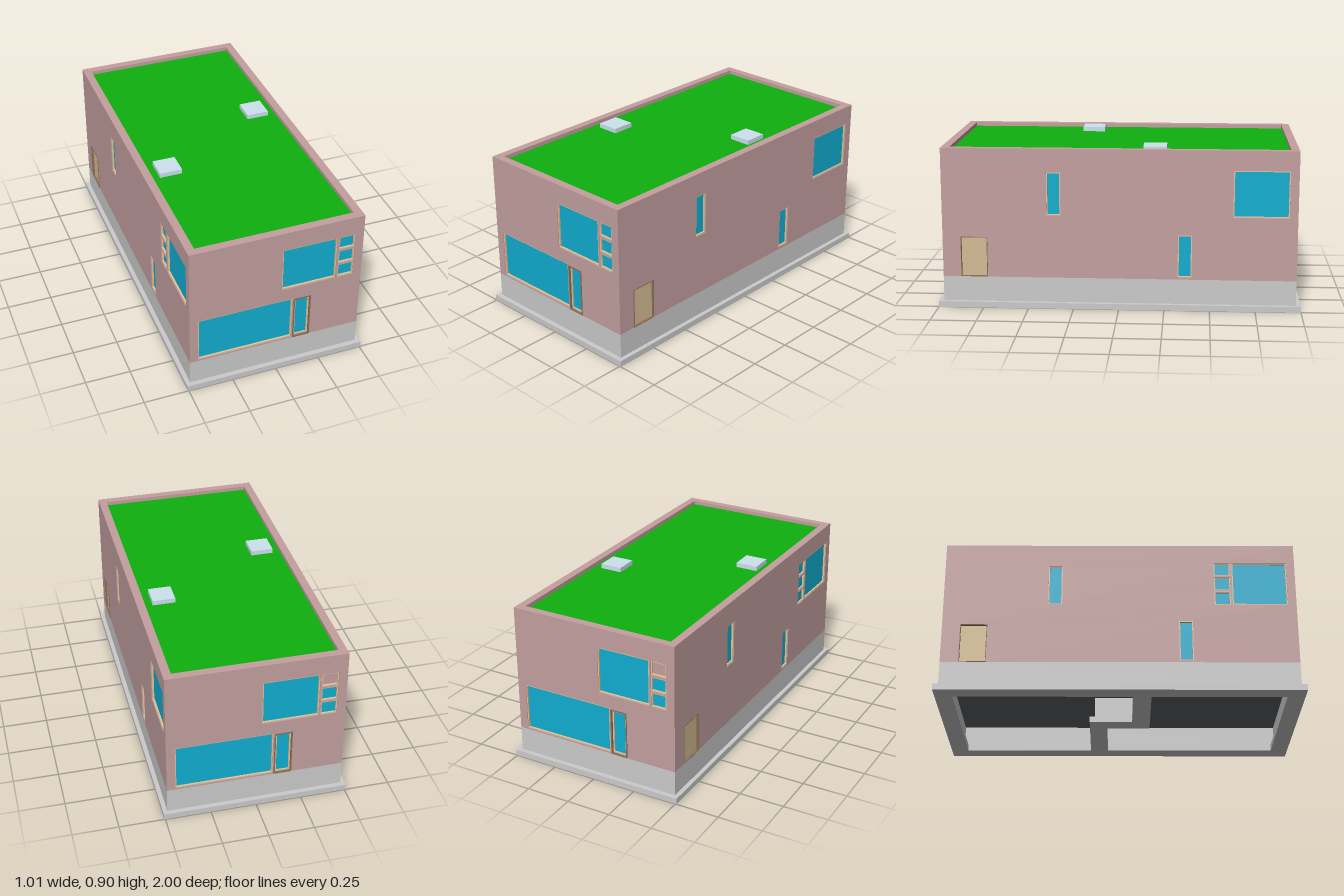
import * as THREE from 'three';

const mat = (color) => new THREE.MeshStandardMaterial({ color });
const MAT = {
  grey: mat(0xcccccc), wall: mat(0xc4a0a0), glass: mat(0x11aed1), frame: mat(0xe8c398),
  trim: mat(0x8f7058), door: mat(0xd5bd94), grass: mat(0x10b010), skylight: mat(0xcce3ee), floor: mat(0x626466),
};

// Main levels and half sizes
const W = 0.483, L = 0.973, T = 0.045;
const FOOT = 0.033, BASE = 0.172, TOP = 0.892, ROOF = 0.87;

function add(parent, name, geometry, material) {
  const mesh = new THREE.Mesh(geometry, material);
  mesh.name = name;
  parent.add(mesh);
  return mesh;
}

function box(parent, name, material, [x0, x1], [y0, y1], [z0, z1]) {
  const mesh = add(parent, name, new THREE.BoxGeometry(x1 - x0, y1 - y0, z1 - z0), material);
  mesh.position.set((x0 + x1) / 2, (y0 + y1) / 2, (z0 + z1) / 2);
  return mesh;
}

const rectPoints = (x0, x1, y0, y1) =>
  [[x0, y0], [x1, y0], [x1, y1], [x0, y1]].map(([x, y]) => new THREE.Vector2(x, y));

// Rectangular plate with rectangular holes, from z0 to z1
function plate(parent, name, material, outer, holes, z0, z1) {
  const shape = new THREE.Shape(rectPoints(...outer));
  for (const h of holes) shape.holes.push(new THREE.Path(rectPoints(...h)));
  const geometry = new THREE.ExtrudeGeometry(shape, { depth: z1 - z0, bevelEnabled: false });
  geometry.translate(0, 0, z0);
  return add(parent, name, geometry, material);
}

const inset = ([x0, x1, y0, y1], d) => [x0 + d, x1 - d, y0 + d, y1 - d];

// Perimeter ring with a stepped cross wall, leaving two rotated L-shaped voids
function foundation(parent, name, outX, outZ, inX, inZ, half, y0, y1) {
  const shape = new THREE.Shape(rectPoints(-outX, outX, -outZ, outZ));
  const step = 0.12;
  const voidOutline = [
    [inX, -inZ], [-inX, -inZ], [-inX, step - half],
    [-half, step - half], [-half, -step - half], [inX, -step - half],
  ];
  for (const s of [1, -1]) {
    shape.holes.push(new THREE.Path(voidOutline.map(([x, z]) => new THREE.Vector2(s * x, -s * z))));
  }
  const geometry = new THREE.ExtrudeGeometry(shape, { depth: y1 - y0, bevelEnabled: false });
  geometry.rotateX(-Math.PI / 2).translate(0, y0, 0);
  add(parent, name, geometry, MAT.grey);
}

// Openings as [left, right, bottom, top] seen from outside the wall
const smallPanes = (x0, x1) => [[x0, x1, 0.703, 0.783], [x0, x1, 0.612, 0.694], [x0, x1, 0.522, 0.604]];
const endWindows = [[-0.436, 0.094, 0.18, 0.446], [0.029, 0.335, 0.522, 0.783], ...smallPanes(0.345, 0.435)];
const sideWindows = [[-0.396, -0.319, 0.523, 0.762], [0.323, 0.4, 0.184, 0.421], [0.622, 0.926, 0.523, 0.783]];
const endDoor = [0.1, 0.198, BASE + 0.001, 0.441];
const sideDoor = [-0.873, -0.725, BASE + 0.001, 0.398];

// One wall with its windows and door; local +z faces outwards
function facade(name, halfWidth, distance, angle, windows, door, glazedDoor, blind) {
  const g = new THREE.Group();
  g.name = name;
  g.rotation.y = angle;
  const d = distance;
  plate(g, 'wall', MAT.wall, [-halfWidth, halfWidth, BASE, TOP], [...windows, door], d - T, d);

  for (const w of windows) {
    plate(g, 'windowFrame', MAT.frame, w, [inset(w, 0.006)], d - 0.025, d - 0.004);
    const [x0, x1, y0, y1] = inset(w, 0.005);
    box(g, 'windowPane', w === blind ? MAT.wall : MAT.glass, [x0, x1], [y0, y1], [d - 0.025, d - 0.014]);
  }

  // Door casing stands slightly proud of the wall
  const trimWidth = glazedDoor ? 0.007 : 0.004;
  const leaf = inset(door, trimWidth);
  plate(g, 'doorCasing', MAT.trim, door, [leaf], d - 0.03, d + 0.003);
  if (glazedDoor) {
    const pane = inset(leaf, 0.008);
    plate(g, 'doorLeaf', MAT.frame, leaf, [pane], d - 0.03, d - 0.008);
    box(g, 'doorPane', MAT.glass, [pane[0], pane[1]], [pane[2], pane[3]], [d - 0.03, d - 0.014]);
  } else {
    box(g, 'doorLeaf', MAT.door, [leaf[0], leaf[1]], [leaf[2], leaf[3]], [d - 0.03, d - 0.01]);
  }
  return g;
}

export function createModel() {
  const model = new THREE.Group();
  model.name = 'house';

  // Footing, plinth and ground floor slab
  foundation(model, 'footing', 0.507, 1, 0.41, 0.903, 0.05, 0, FOOT);
  foundation(model, 'plinth', W, L, W - T, L - T, 0.022, FOOT, BASE);
  box(model, 'floorSlab', MAT.floor, [-W + T, W - T], [0.157, BASE], [-L + T, L - T]);

  // Four walls; opposite walls repeat by a half turn
  const leftWindows = [...sideWindows, ...smallPanes(0.522, 0.612)];
  model.add(
    facade('frontWall', W, L, 0, endWindows, endDoor, true),
    facade('backWall', W, L, Math.PI, endWindows, endDoor, true, endWindows[2]),
    facade('rightSideWall', L - T, W, Math.PI / 2, sideWindows, sideDoor, false),
    facade('leftSideWall', L - T, W, -Math.PI / 2, leftWindows, sideDoor, false),
  );

  // Green roof sunk behind the parapet, with two skylights
  box(model, 'greenRoof', MAT.grass, [-W + T, W - T], [ROOF - 0.03, ROOF], [-L + T, L - T]);
  for (const s of [1, -1]) {
    const skylight = box(model, 'skylight', MAT.skylight, [-0.063, 0.063], [ROOF, 0.896], [-0.064, 0.064]);
    skylight.position.x = s * 0.33;
    skylight.position.z = s * -0.193;
  }
  return model;
}
